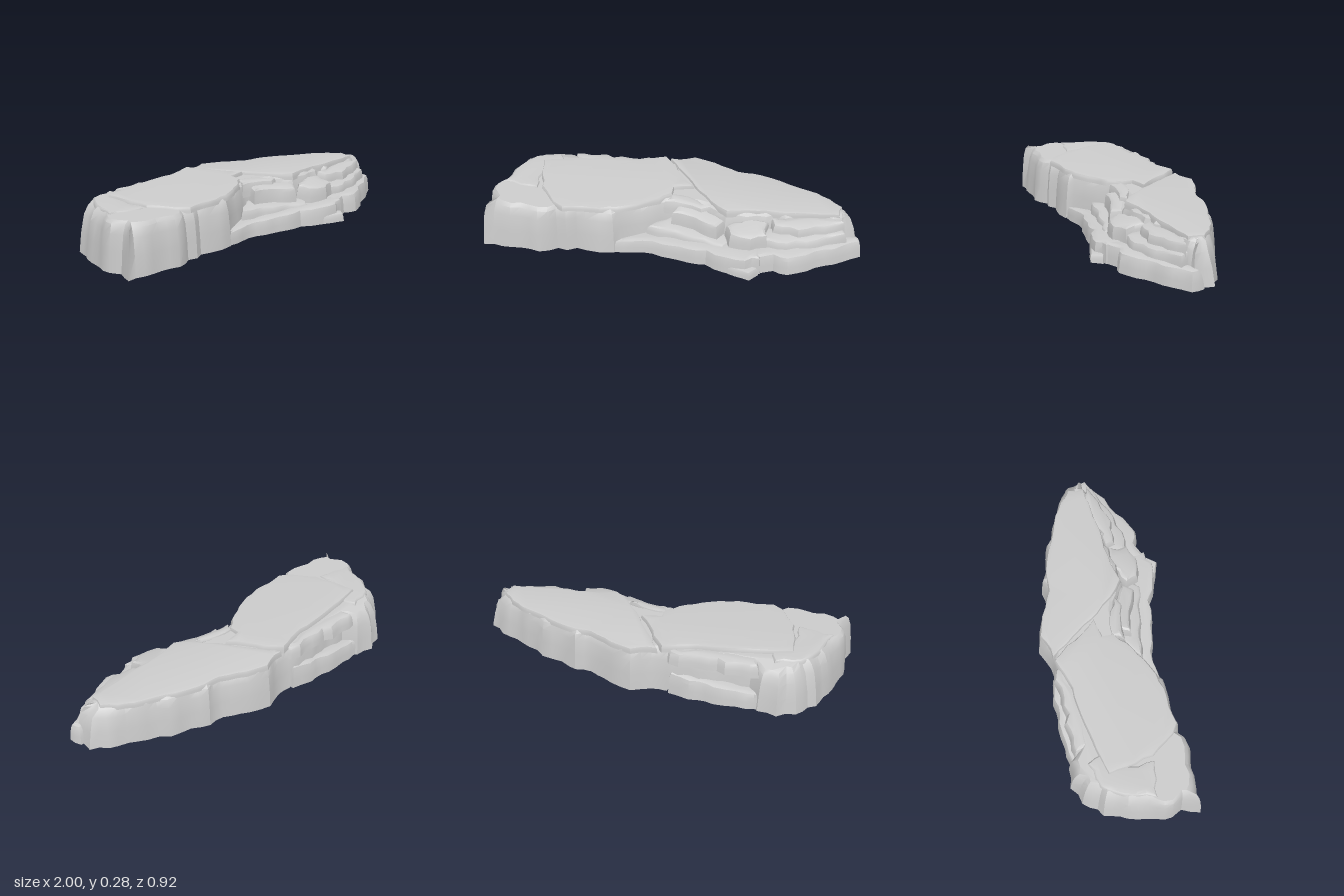
import * as THREE from 'three';
import { toCreasedNormals } from 'three/addons/utils/BufferGeometryUtils.js';

const material = new THREE.MeshStandardMaterial({ color: 0xcccccc, side: THREE.DoubleSide });

// Small seeded noise in -1..1
function seeded(seed) {
  let s = seed * 7919 + 17;
  return () => {
    s = (s * 16807) % 2147483647;
    return (s / 2147483647) * 2 - 1;
  };
}

// A stone slab, open below: a rough outline [x, z, own inset] rising from a foot
// height and drawn in towards a sloping top
function slab(name, outline, foot, top, { inset = 0.03, rough = 0.01, bevel = 0.015, seed = 1 } = {}) {
  const rnd = seeded(seed);
  const corners = outline.map(([x, z, own = inset]) => new THREE.Vector3(x, -z, own));
  if (THREE.ShapeUtils.isClockWise(corners)) corners.reverse();

  // Break each long edge into uneven facets
  const ground = [];
  corners.forEach((a, i) => {
    const b = corners[(i + 1) % corners.length];
    const length = Math.hypot(b.x - a.x, b.y - a.y);
    const steps = Math.max(1, Math.round(length / 0.05));
    const side = new THREE.Vector3(b.y - a.y, a.x - b.x, 0).divideScalar(length);
    for (let k = 0; k < steps; k++) {
      const p = a.clone().lerp(b, k / steps);
      if (k) p.addScaledVector(side, rnd() * rough);
      ground.push(p);
    }
  });

  // Outward directions, smoothed along the outline
  const n = ground.length;
  const outward = ground.map((p, i) => {
    const d = ground[(i + 2) % n].clone().sub(ground[(i + n - 2) % n]);
    return new THREE.Vector2(d.y, -d.x).normalize();
  });
  const wear = ground.map(() => 1 + 0.3 * rnd());

  // Wall rings from the foot to the worn upper edge
  const rings = [[0, 0], [0.4, 0.2], [0.75, 0.5], [0.93, 0.9], [1, 1]];
  const pos = [], index = [];
  let rim = [];
  rings.forEach(([t, pull], r) => {
    rim = ground.map((p, i) => {
      const d = p.z * pull * wear[i] + (r === rings.length - 1 ? bevel : 0);
      return new THREE.Vector2(p.x, p.y).addScaledVector(outward[i], -d);
    });
    rim.forEach((p, i) => {
      const y0 = foot(ground[i].x, -ground[i].y);
      pos.push(p.x, y0 + (top(p.x, -p.y) - y0) * t, -p.y);
    });
    if (r === 0) return;
    for (let i = 0; i < n; i++) {
      const j = (i + 1) % n, a = (r - 1) * n, b = r * n;
      index.push(a + i, a + j, b + j, a + i, b + j, b + i);
    }
  });

  // Top face
  const last = (rings.length - 1) * n;
  for (const f of THREE.ShapeUtils.triangulateShape(rim, [])) {
    index.push(last + f[0], last + f[1], last + f[2]);
  }
  const geo = new THREE.BufferGeometry();
  geo.setAttribute('position', new THREE.Float32BufferAttribute(pos, 3));
  geo.setIndex(index);
  const mesh = new THREE.Mesh(toCreasedNormals(geo, 0.55), material);
  mesh.name = name;
  return mesh;
}

export function createModel() {
  const group = new THREE.Group();
  group.name = 'rockLedge';
  const plane = (h, sx = 0, sz = 0) => (x, z) => h + sx * x + sz * z;

  // Walls stand on the ground, except where ledges join the main mass and the hollow runs through
  const hollow = (x, z) => {
    const rise = 0.1 * Math.max(0, x);
    const front = x > -0.29 && x < 0.93 && z > 0.06 + rise && z < 0.19 + rise;
    const back = x > -0.47 && x < -0.09 && z < -0.22 && z > -0.352 + 0.05 * x;
    return front ? 0.065 : back ? 0.09 : 0;
  };

  // Main rock mass, with the cliff along its front; its top falls away at the back
  const bodyTop = (x, z) => 0.243 - 0.02 * x - 0.02 * z - 0.5 * Math.max(0, -0.34 - z);
  group.add(slab('rockBody', [
    [-1, 0.13, 0.05], [-0.95, 0.04, 0.03], [-0.97, -0.02], [-0.93, -0.14, 0.045], [-0.89, -0.24, 0.055],
    [-0.83, -0.35, 0.06], [-0.73, -0.43, 0.065], [-0.63, -0.46, 0.06], [-0.53, -0.43, 0.045],
    [-0.48, -0.36], [-0.3, -0.35], [-0.17, -0.34], [-0.05, -0.33], [0.03, -0.32], [0.14, -0.35],
    [0.25, -0.3], [0.37, -0.22], [0.5, -0.19], [0.6, -0.14], [0.75, -0.05], [0.88, 0.03, 0.04],
    [0.995, 0.12, 0.08], [0.975, 0.23, 0.07], [0.85, 0.23], [0.65, 0.22], [0.45, 0.21],
    [0.28, 0.21], [0.18, 0.13], [0.08, 0.1], [0, 0.09], [-0.1, 0.13], [-0.2, 0.16], [-0.27, 0.18],
    [-0.3, 0.21, 0.04], [-0.38, 0.21, 0.04], [-0.45, 0.19], [-0.6, 0.17], [-0.7, 0.2], [-0.85, 0.16],
  ], hollow, bodyTop, { rough: 0.014, seed: 3 }));

  // Thin upper layers, parted by a crack across the top
  group.add(slab('upperLayer', [
    [-0.7, -0.27], [-0.55, -0.285], [-0.4, -0.29], [-0.2, -0.28], [-0.02, -0.31], [0.04, -0.22],
    [0.07, -0.13], [0.13, -0.03], [0.02, -0.02], [0.01, 0.04], [-0.06, 0.09], [-0.18, 0.14],
    [-0.28, 0.17], [-0.42, 0.17], [-0.57, 0.165], [-0.62, 0.12], [-0.69, -0.02],
  ], plane(0.227, -0.02, -0.02), plane(0.264, -0.014, -0.045), { inset: 0.01, bevel: 0.018, rough: 0.006, seed: 5 }));
  group.add(slab('lowerTopLayer', [
    [0, -0.31], [0.05, -0.305], [0.14, -0.33], [0.25, -0.28], [0.37, -0.195], [0.5, -0.165],
    [0.6, -0.115], [0.75, -0.025], [0.85, 0.05], [0.905, 0.12], [0.88, 0.2], [0.65, 0.195],
    [0.45, 0.18], [0.29, 0.19], [0.21, 0.1], [0.15, 0], [0.07, -0.17],
  ], plane(0.22, -0.02, -0.02), plane(0.262, -0.035), { inset: 0.006, bevel: 0.008, rough: 0.006, seed: 6 }));

  // Loose plates along the back and the end
  group.add(slab('backPlate', [
    [-0.53, -0.39], [-0.4, -0.38], [-0.22, -0.35], [-0.06, -0.33], [-0.03, -0.27], [-0.3, -0.25], [-0.52, -0.26],
  ], plane(0.18), plane(0.252, -0.01), { inset: 0.02, rough: 0.014, seed: 8 }));
  group.add(slab('endPlate', [
    [-0.9, -0.08], [-0.83, -0.23], [-0.74, -0.33], [-0.6, -0.35], [-0.58, -0.25], [-0.68, -0.2], [-0.71, -0.02],
  ], plane(0.225, -0.02, -0.02), plane(0.256, -0.014, -0.02), { inset: 0.012, seed: 9 }));

  // Low ledge along the back
  group.add(slab('backLedge', [
    [-0.56, -0.43], [-0.42, -0.41], [-0.3, -0.405], [-0.17, -0.385], [-0.06, -0.345], [-0.06, -0.28], [-0.5, -0.3],
  ], hollow, plane(0.14, 0.1), { inset: 0.016, seed: 11 }));

  // Wide low shelf below the front cliff
  group.add(slab('frontShelf', [
    [-0.3, 0.205], [-0.15, 0.21], [-0.05, 0.25], [0.04, 0.28], [0.18, 0.32], [0.28, 0.39],
    [0.38, 0.42], [0.46, 0.4], [0.47, 0.2], [0.25, 0.17], [0.05, 0.08], [-0.2, 0.11],
  ], hollow, plane(0.083, 0.05), { inset: 0.012, seed: 13 }));
  group.add(slab('shelfFoot', [
    [0.26, 0.37], [0.33, 0.42], [0.4, 0.455], [0.45, 0.41], [0.4, 0.35],
  ], plane(0), plane(0.045), { inset: 0.01, rough: 0.004, seed: 14 }));
  group.add(slab('endShelf', [
    [0.42, 0.22], [0.42, 0.4], [0.53, 0.375], [0.6, 0.41], [0.75, 0.35], [0.9, 0.3],
    [1, 0.255, 0.025], [0.995, 0.18, 0.025], [0.85, 0.18],
  ], hollow, plane(0.105, -0.005), { inset: 0.016, seed: 15 }));

  // Broken steps climbing from the shelf to the top: outline, foot, height, seed
  const steps = [
    [[[-0.13, 0.15], [-0.07, 0.18], [0.02, 0.2], [0.12, 0.24], [0.27, 0.3], [0.33, 0.24], [0.2, 0.11], [0.02, 0.06]], 0.08, 0.122, 21],
    [[[0, 0.14], [0.12, 0.18], [0.24, 0.25], [0.29, 0.2], [0.18, 0.09], [0.03, 0.03]], 0.1, 0.2, 22],
    [[[-0.04, 0.09], [0.06, 0.11], [0.16, 0.15], [0.22, 0.13], [0.1, 0.04], [0, 0.02]], 0.17, 0.222, 23],
    [[[0.28, 0.22], [0.3, 0.3], [0.41, 0.335], [0.5, 0.31], [0.52, 0.2], [0.4, 0.17]], 0.09, 0.2, 24],
    [[[0.5, 0.2], [0.46, 0.3], [0.6, 0.33], [0.76, 0.31], [0.92, 0.26], [0.9, 0.19]], 0.09, 0.165, 25],
    [[[0.52, 0.19], [0.53, 0.25], [0.66, 0.285], [0.8, 0.265], [0.91, 0.23], [0.85, 0.17]], 0.14, 0.21, 26],
  ];
  steps.forEach(([outline, foot, height, seed]) => {
    group.add(slab('brokenStep', outline, plane(foot), plane(height + 0.04, 0, -0.2), { inset: 0.014, bevel: 0.012, rough: 0.01, seed }));
  });

  return group;
}
